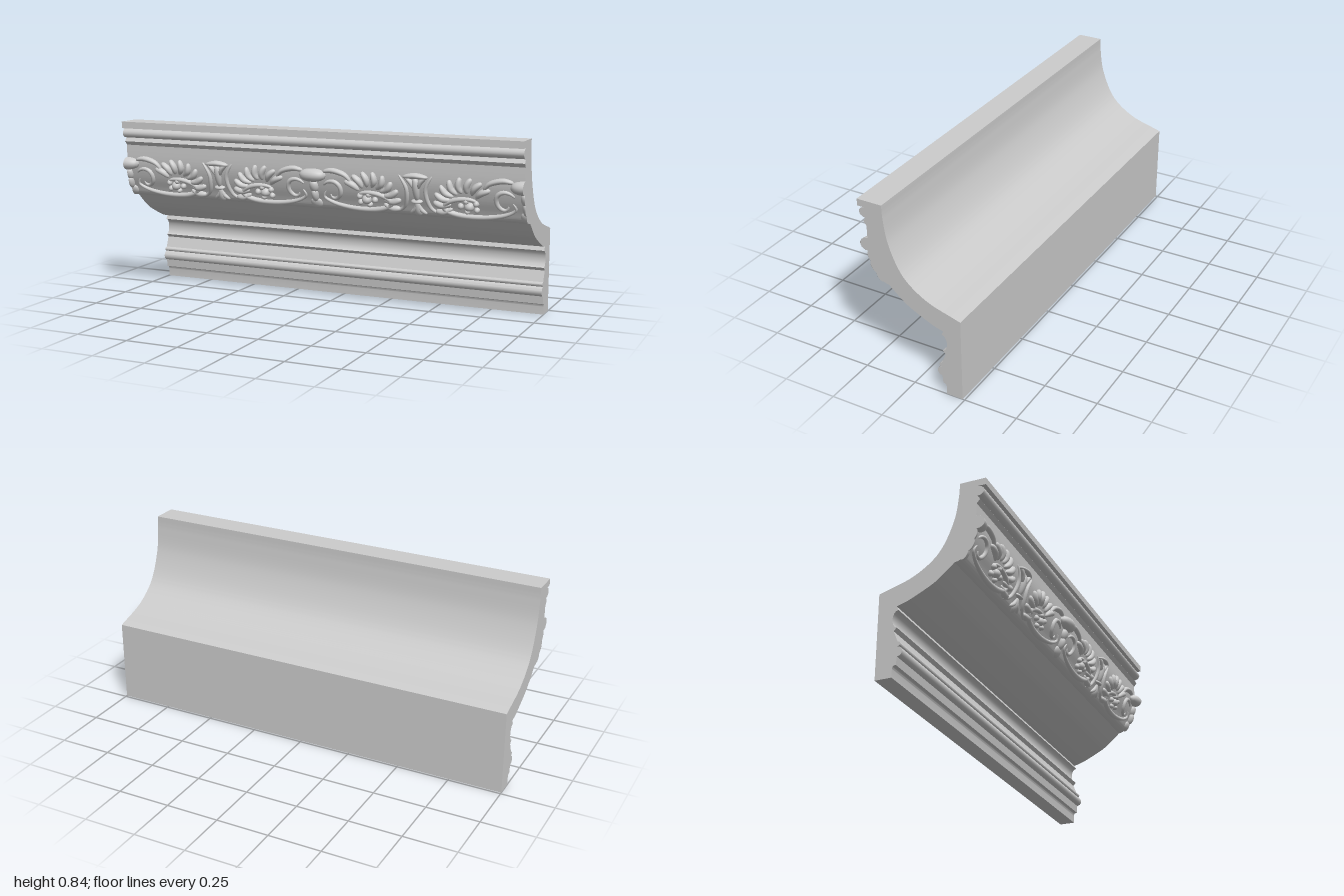
import * as THREE from 'three';
import { toCreasedNormals } from 'three/addons/utils/BufferGeometryUtils.js';

const V = (x, y) => new THREE.Vector2(x, y);
const pts = (list) => list.map(([x, y]) => V(x, y));
const material = new THREE.MeshStandardMaterial({ color: 0xcccccc });

// Curved ground of the carved frieze, as (z, y)
const FRIEZE = pts([[0.122, 0.471], [0.142, 0.485], [0.158, 0.52], [0.178, 0.565], [0.193, 0.615], [0.199, 0.66], [0.2, 0.727]]);
const friezeSamples = new THREE.SplineCurve(FRIEZE).getPoints(80);

// Point on the frieze at height y, raised by h along its outward normal
function onFrieze(x, y, h) {
  const s = friezeSamples;
  let i = 0;
  while (i < s.length - 2 && s[i + 1].y < y) i++;
  const a = s[i], b = s[i + 1];
  const dz = b.x - a.x, dy = b.y - a.y, len = Math.hypot(dz, dy);
  const z = a.x + dz * THREE.MathUtils.clamp((y - a.y) / dy, 0, 1);
  return [THREE.MathUtils.clamp(x, -1, 1), y - (h * dz) / len, z + (h * dy) / len];
}

// Constant moulding section, swept along x
function buildMoulding() {
  const p = new THREE.Shape();
  p.moveTo(-0.24, 0);
  p.lineTo(-0.163, 0);
  p.lineTo(-0.163, 0.037);
  p.quadraticCurveTo(-0.162, 0.051, -0.15, 0.053);
  p.lineTo(-0.146, 0.053);
  p.lineTo(-0.143, 0.09);
  p.bezierCurveTo(-0.113, 0.091, -0.113, 0.134, -0.143, 0.135); // lower bead
  p.bezierCurveTo(-0.126, 0.137, -0.126, 0.156, -0.143, 0.157); // small bead
  p.lineTo(-0.163, 0.207);
  p.lineTo(-0.15, 0.222);
  p.bezierCurveTo(-0.179, 0.228, -0.18, 0.296, -0.146, 0.302); // hollow
  p.lineTo(-0.155, 0.32);
  p.splineThru(pts([[-0.1, 0.337], [0, 0.385], [0.05, 0.42], [0.105, 0.468]])); // soffit
  p.lineTo(0.122, 0.471);
  p.splineThru(FRIEZE.slice(1));
  p.lineTo(0.215, 0.745);
  p.lineTo(0.203, 0.763);
  p.bezierCurveTo(0.243, 0.765, 0.243, 0.81, 0.2, 0.811); // upper bead
  p.lineTo(0.24, 0.811);
  p.lineTo(0.24, 0.843);
  p.lineTo(0.12, 0.843);
  p.splineThru(pts([[0.117, 0.78], [0.1, 0.675], [0.055, 0.565], [0, 0.497], [-0.09, 0.44], [-0.2, 0.405]])); // back cove
  p.lineTo(-0.24, 0.393);
  p.closePath();
  const g = new THREE.ExtrudeGeometry(p, { depth: 2, bevelEnabled: false, curveSegments: 8 });
  g.translate(0, 0, -1);
  g.rotateY(-Math.PI / 2);
  return toCreasedNormals(g, 0.45);
}

// Raised, tapered stroke along a path on the frieze: width w, relief h, bias moves the fullest part
function stroke(path, w, h, bias) {
  const curve = new THREE.SplineCurve(path);
  const n = path.length > 4 ? 40 : 16, m = 10, pos = [], idx = [];
  for (let i = 0; i <= n; i++) {
    const t = i / n;
    const env = Math.sqrt(Math.max(0, Math.sin(Math.PI * Math.pow(t, bias))));
    const c = curve.getPoint(t), d = curve.getTangent(t);
    for (let j = 0; j <= m; j++) {
      const a = (Math.PI * j) / m, side = w * env * Math.cos(a);
      pos.push(...onFrieze(c.x - d.y * side, c.y + d.x * side, h * env * Math.sin(a) - 0.001));
      if (i < n && j < m) {
        const k = i * (m + 1) + j;
        idx.push(k, k + 1, k + m + 1, k + 1, k + m + 2, k + m + 1);
      }
    }
  }
  const g = new THREE.BufferGeometry();
  g.setAttribute('position', new THREE.Float32BufferAttribute(pos, 3));
  g.setIndex(idx);
  g.computeVertexNormals();
  return g;
}

// Point on an ellipse, angle in degrees
function polar(cx, cy, rx, ry, deg) {
  const a = THREE.MathUtils.degToRad(deg);
  return V(cx + rx * Math.cos(a), cy + ry * Math.sin(a));
}

// Elliptical spiral whose radii shrink from (rx, ry) to (rx, ry) * end
function spiral(cx, cy, rx, ry, end, from, to) {
  return Array.from({ length: 12 }, (_, i) => {
    const t = i / 11, k = 1 + (end - 1) * t;
    return polar(cx, cy, rx * k, ry * Math.sqrt(k), from + (to - from) * t);
  });
}

export function createModel() {
  const model = new THREE.Group();
  const moulding = new THREE.Mesh(buildMoulding(), material);
  moulding.name = 'moulding';
  const frieze = new THREE.Group();
  frieze.name = 'carvedFrieze';
  model.add(moulding, frieze);

  // Carve one stroke, its path measured from x0 in direction sign
  const carve = (name, x0, sign, path, w, h, bias = 1) => {
    const mesh = new THREE.Mesh(stroke(path.map((p) => V(x0 + sign * p.x, p.y)), w, h, bias), material);
    mesh.name = name;
    frieze.add(mesh);
  };

  // Half repeats from a shell (x = 0) to a vase (x = 0.5), mirrored along the frieze
  for (const [x0, sign] of [[-1, 1], [0, -1], [0, 1], [1, -1]]) {
    const put = (name, ...rest) => carve(name, x0, sign, ...rest);
    put('scrollStem', spiral(0.255, 0.537, 0.225, 0.058, 0.18, 150, 510), 0.012, 0.018);
    put('scrollCurl', spiral(0.095, 0.565, 0.055, 0.05, 0.35, 150, -150), 0.011, 0.014, 0.8);
    put('topLeaf', pts([[0.05, 0.655], [0.1, 0.662], [0.16, 0.645], [0.19, 0.61]]), 0.013, 0.02, 0.8);
    put('sideStem', pts([[0.42, 0.665], [0.455, 0.6], [0.44, 0.52], [0.39, 0.485]]), 0.01, 0.014);
    put('vasePetal', pts([[0.49, 0.6], [0.475, 0.635], [0.445, 0.662]]), 0.011, 0.018, 1.2);
    put('vaseFoot', pts([[0.495, 0.53], [0.485, 0.505], [0.46, 0.485]]), 0.01, 0.014);

    // Rosette in the eye of the scroll
    put('rosetteHeart', pts([[0.235, 0.537], [0.28, 0.537]]), 0.019, 0.028);
    for (let a = 0; a < 360; a += 72)
      put('rosettePetal', [polar(0.257, 0.537, 0.026, 0.014, a), polar(0.257, 0.537, 0.054, 0.036, a)], 0.013, 0.02);

    // Acanthus lobes fanning out of the scroll
    for (let a = -20; a <= 140; a += 20)
      put('leafLobe', [
        polar(0.275, 0.54, 0.065, 0.055, a),
        polar(0.275, 0.54, 0.11, 0.09, a - 4),
        polar(0.275, 0.54, 0.15, 0.128, a + 3),
      ], 0.015, 0.021, 1.2);
  }

  // Shells with hanging drops
  for (const x of [-1, 0, 1]) {
    carve('shellBoss', x, 1, pts([[-0.065, 0.637], [0.065, 0.637]]), 0.03, 0.043);
    for (const [top, bottom, w, h] of [[0.61, 0.555, 0.022, 0.02], [0.57, 0.51, 0.018, 0.024], [0.525, 0.476, 0.03, 0.014]])
      carve('shellDrop', x, 1, [V(0, top), V(0, bottom)], w, h, 0.9);
  }

  // Vases between the leaves
  for (const x of [-0.5, 0.5]) {
    carve('vaseRim', x, 1, pts([[-0.06, 0.655], [0, 0.662], [0.06, 0.655]]), 0.013, 0.026);
    carve('vaseBody', x, 1, pts([[0, 0.65], [0, 0.545]]), 0.017, 0.018, 0.8);
    carve('vaseRing', x, 1, pts([[-0.028, 0.545], [0.028, 0.545]]), 0.009, 0.021);
    carve('vaseBase', x, 1, pts([[0, 0.54], [0, 0.475]]), 0.019, 0.017, 1.3);
  }
  return model;
}
